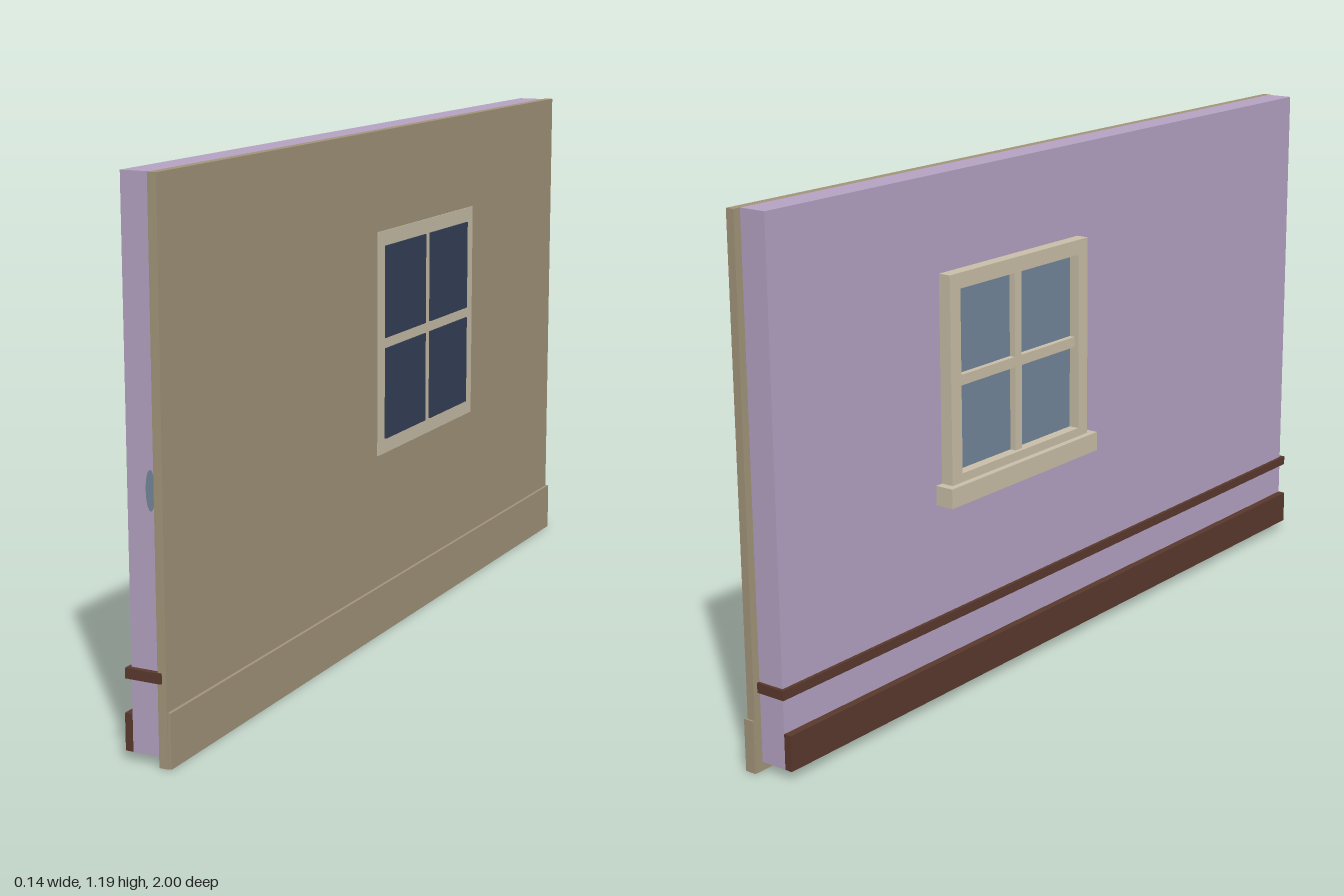
import * as THREE from 'three';

const material = (name, color) => {
  const m = new THREE.MeshStandardMaterial({ color });
  m.name = name;
  return m;
};

export function createModel() {
  const group = new THREE.Group();
  group.name = 'wallPanel';
  const lilac = material('lilac plaster', 0xb5a3c3);
  const tan = material('tan siding', 0xa3957a);
  const cream = material('cream trim', 0xcabfa8);
  const brown = material('dark brown wood', 0x5a392d);
  const navy = material('outer glass', 0x354058);
  const blueGrey = material('inner glass', 0x74879b);

  // Box given by its limits on each axis
  const box = (name, mat, [x0, x1], [y0, y1], [z0, z1], parent = group) => {
    const mesh = new THREE.Mesh(new THREE.BoxGeometry(x1 - x0, y1 - y0, z1 - z0), mat);
    mesh.position.set((x0 + x1) / 2, (y0 + y1) / 2, (z0 + z1) / 2);
    mesh.name = name;
    parent.add(mesh);
    return mesh;
  };

  // Wall layers
  box('innerWall', lilac, [-0.025, 0.04], [0.02, 1.19], [-0.978, 0.988]);
  box('outerWall', tan, [0.04, 0.06], [0, 1.19], [-0.996, 0.995]);
  box('outerPlinth', tan, [0.041, 0.067], [0, 0.118], [-1, 0.992]);

  // Wooden trim, with the rail wrapping both ends
  box('skirtingBoard', brown, [-0.043, -0.025], [0.02, 0.1], [-0.978, 0.988]);
  box('chairRail', brown, [-0.033, 0.05], [0.178, 0.2], [-0.985, 1]);

  // Outer window: flat surround with four panes
  const outer = new THREE.Group();
  outer.name = 'outerWindow';
  group.add(outer);
  box('outerSurround', cream, [0.058, 0.062], [0.435, 0.96], [-0.47, 0.06], outer);
  for (const y of [[0.47, 0.685], [0.71, 0.925]]) {
    for (const z of [[-0.432, -0.217], [-0.19, 0.025]]) {
      box('outerPane', navy, [0.06, 0.066], y, z, outer);
    }
  }

  // Inner window: raised frame, glazing bars and sill
  const inner = new THREE.Group();
  inner.name = 'innerWindow';
  group.add(inner);
  const opening = new THREE.Path();
  opening.moveTo(-0.425, 0.525).lineTo(0.005, 0.525).lineTo(0.005, 0.94).lineTo(-0.425, 0.94).closePath();
  const outline = new THREE.Shape();
  outline.moveTo(-0.46, 0.5).lineTo(0.04, 0.5).lineTo(0.04, 0.975).lineTo(-0.46, 0.975).closePath();
  outline.holes.push(opening);
  const frame = new THREE.Mesh(
    new THREE.ExtrudeGeometry(outline, { depth: 0.03, bevelEnabled: false }), cream);
  frame.rotation.y = -Math.PI / 2;
  frame.position.x = -0.025;
  frame.name = 'innerFrame';
  inner.add(frame);
  box('innerGlass', blueGrey, [-0.03, -0.025], [0.525, 0.94], [-0.425, 0.005], inner);
  box('verticalBar', cream, [-0.045, -0.03], [0.525, 0.94], [-0.222, -0.198], inner);
  box('horizontalBar', cream, [-0.044, -0.03], [0.72, 0.744], [-0.425, 0.005], inner);
  box('windowSill', cream, [-0.07, -0.025], [0.46, 0.505], [-0.48, 0.06], inner);

  // Small oval plate on the front end
  const plate = new THREE.Mesh(new THREE.CircleGeometry(1, 24), blueGrey);
  plate.scale.set(0.011, 0.042, 1);
  plate.position.set(0.029, 0.568, 0.989);
  plate.name = 'endPlate';
  group.add(plate);

  return group;
}
